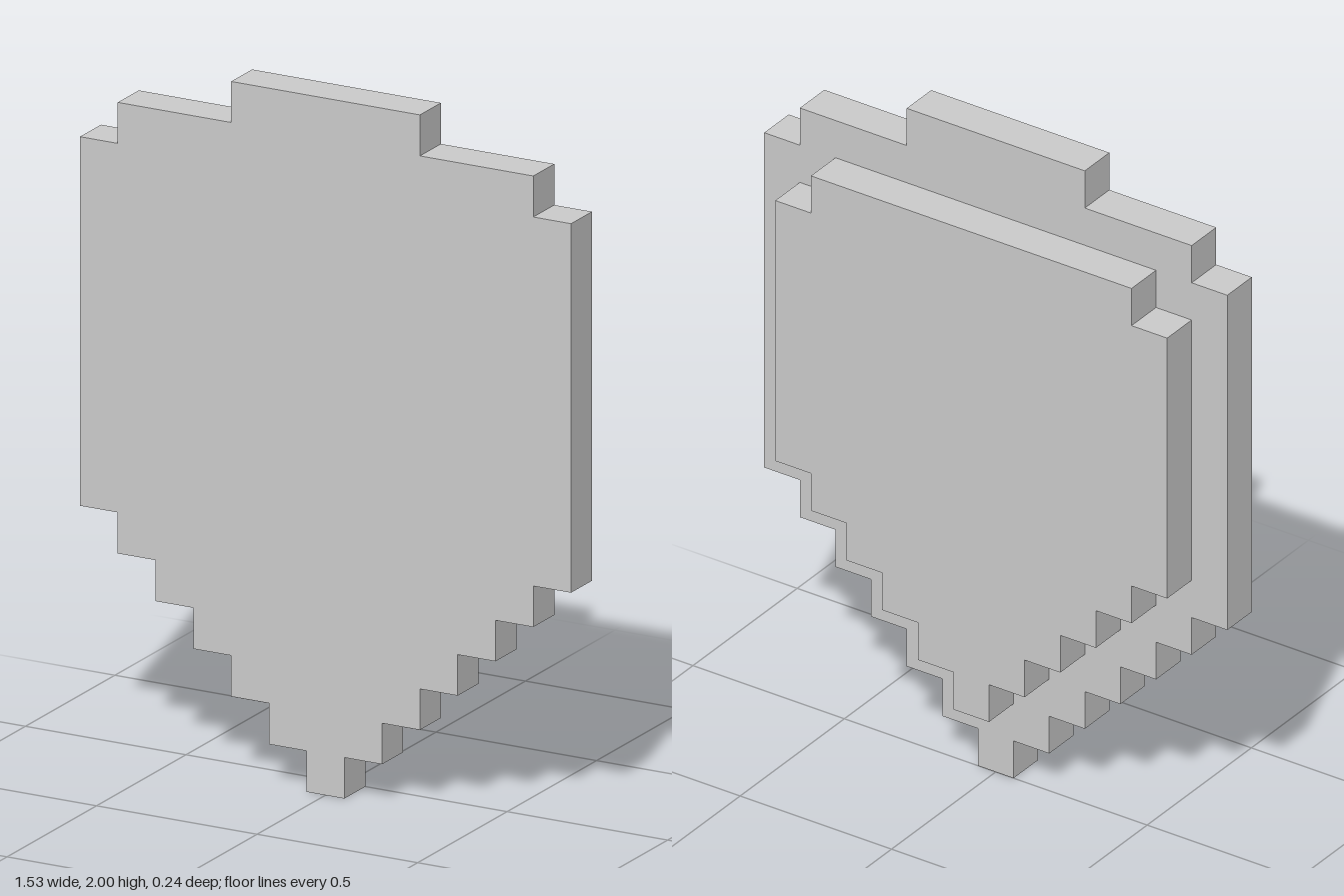
import * as THREE from 'three';

const U = 2 / 17; // one stair step

// Symmetric stepped outline; each row is [half width, top height] in steps, from the bottom up
function steppedPlate(name, bottom, rows, z) {
  const right = [];
  let y = bottom;
  for (const [half, top] of rows) {
    right.push(new THREE.Vector2(half * U, y * U), new THREE.Vector2(half * U, top * U));
    y = top;
  }
  const left = right.map((p) => new THREE.Vector2(-p.x, p.y)).reverse();
  const geometry = new THREE.ExtrudeGeometry(new THREE.Shape([...right, ...left]), {
    depth: U,
    bevelEnabled: false,
  });
  const material = new THREE.MeshStandardMaterial({ color: 0xcccccc, flatShading: true });
  const mesh = new THREE.Mesh(geometry, material);
  mesh.name = name;
  mesh.position.z = z;
  return mesh;
}

export function createModel() {
  const shield = new THREE.Group();
  shield.name = 'shield';

  // Large front plate
  shield.add(steppedPlate('frontPlate', 0, [
    [0.5, 1], [1.5, 2], [2.5, 3], [3.5, 4], [4.5, 5], [5.5, 6],
    [6.5, 15], [5.5, 16], [2.5, 17],
  ], 0));

  // Smaller plate behind it
  shield.add(steppedPlate('backPlate', 2, [
    [0.5, 3], [1.5, 4], [2.5, 5], [3.5, 6], [4.5, 7],
    [5.5, 14], [4.5, 15],
  ], -U));

  return shield;
}
